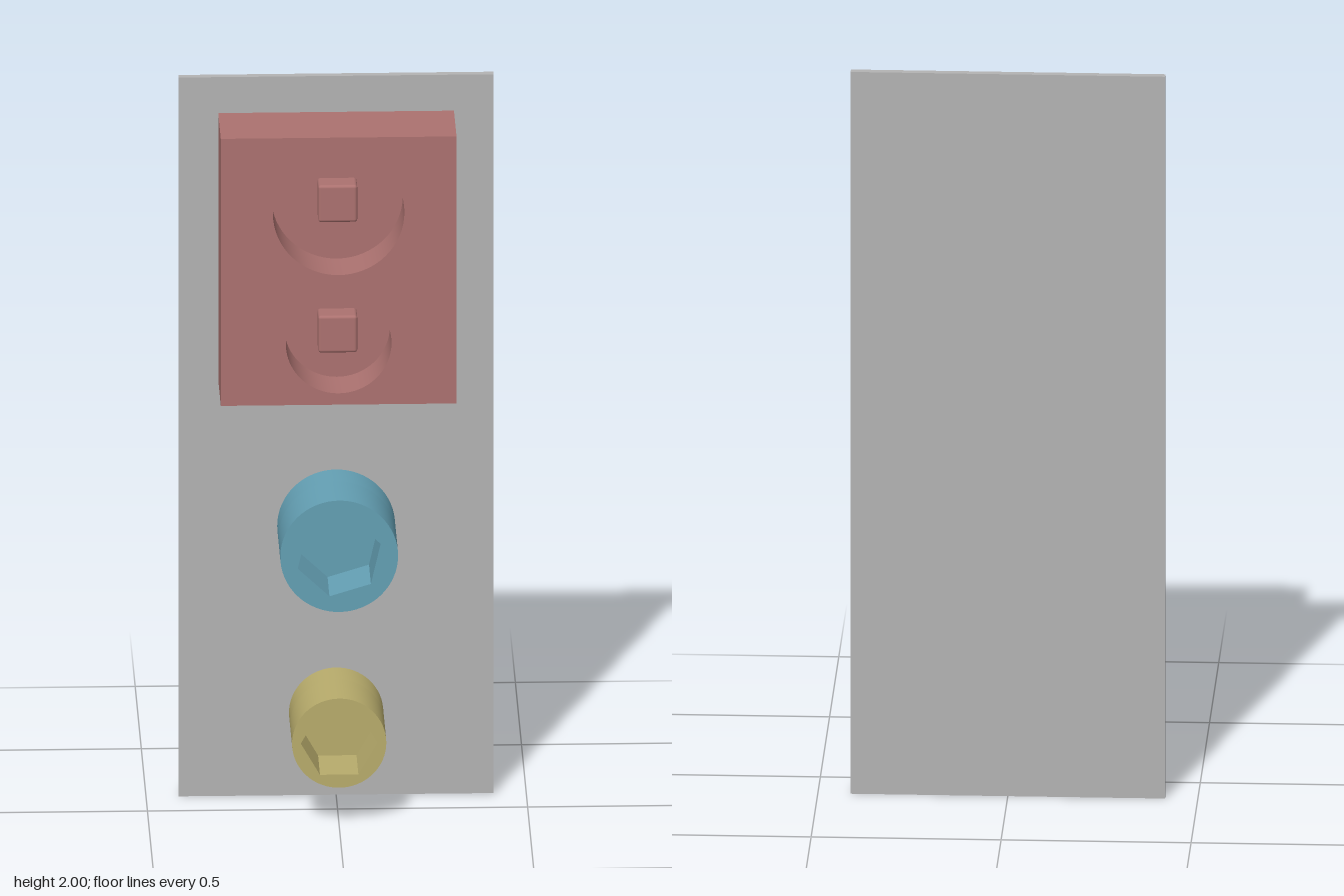
import * as THREE from 'three';
import { toCreasedNormals } from 'three/addons/utils/BufferGeometryUtils.js';
import { RoundedBoxGeometry } from 'three/addons/geometries/RoundedBoxGeometry.js';

const material = (name, color) => new THREE.MeshStandardMaterial({ name, color });

const PLATE_FRONT = -0.115;

function circle(r, y = 0, Type = THREE.Shape) {
  return new Type().absarc(0, y, r, 0, Math.PI * 2, false);
}

function hexagon(r, turn) {
  const points = [];
  for (let i = 0; i < 6; i++) {
    const a = turn + i * Math.PI / 3;
    points.push(new THREE.Vector2(r * Math.cos(a), r * Math.sin(a)));
  }
  return new THREE.Path(points);
}

function rectangle(w, h) {
  const x = w / 2, y = h / 2;
  return new THREE.Shape([
    new THREE.Vector2(-x, -y), new THREE.Vector2(x, -y),
    new THREE.Vector2(x, y), new THREE.Vector2(-x, y),
  ]);
}

function addMesh(parent, name, geometry, mat, x, y, z) {
  const mesh = new THREE.Mesh(geometry, mat);
  mesh.name = name;
  mesh.position.set(x, y, z);
  parent.add(mesh);
}

// Solid back layer plus a pierced front layer, giving blind holes
function recessedBody(name, makeOutline, holes, front, holeDepth, mat) {
  const group = new THREE.Group();
  group.name = name;
  const floor = front - holeDepth;
  const extrude = (shape, depth) => toCreasedNormals(
    new THREE.ExtrudeGeometry(shape, { depth, bevelEnabled: false, curveSegments: 32 }), 0.5);
  addMesh(group, name + 'Base', extrude(makeOutline(), floor - PLATE_FRONT), mat, 0, 0, PLATE_FRONT);
  const pierced = makeOutline();
  pierced.holes.push(...holes);
  addMesh(group, name + 'Rim', extrude(pierced, holeDepth), mat, 0, 0, floor);
  return group;
}

export function createModel() {
  const model = new THREE.Group();
  model.name = 'socketPanel';
  const grey = material('plateGrey', 0xb4b4b4);
  const red = material('dustyRed', 0xac7270);
  const blue = material('softBlue', 0x64a0b4);
  const yellow = material('paleYellow', 0xb8ac6c);

  // Backing plate
  addMesh(model, 'backPlate', new THREE.BoxGeometry(0.828, 2, 0.021), grey, 0, 1, -0.1255);

  // Block with two round recesses, each with a square peg
  const recesses = [{ y: 0.162, r: 0.173 }, { y: -0.201, r: 0.139 }];
  const block = recessedBody('recessBlock', () => rectangle(0.62, 0.743),
    recesses.map(({ y, r }) => circle(r, y, THREE.Path)), 0.092, 0.133, red);
  block.position.y = 1.5285;
  for (const { y } of recesses) {
    addMesh(block, 'squarePeg', new RoundedBoxGeometry(0.103, 0.103, 0.103, 2, 0.008), red, 0, y, -0.0295);
  }
  model.add(block);

  // Round sockets with hexagonal recesses
  const upper = recessedBody('upperHexSocket', () => circle(0.155),
    [hexagon(0.114, THREE.MathUtils.degToRad(17))], 0.135, 0.155, blue);
  upper.position.y = 0.75;
  const lower = recessedBody('lowerHexSocket', () => circle(0.124),
    [hexagon(0.101, 0)], 0.135, 0.155, yellow);
  lower.position.y = 0.23;
  model.add(upper, lower);

  return model;
}
